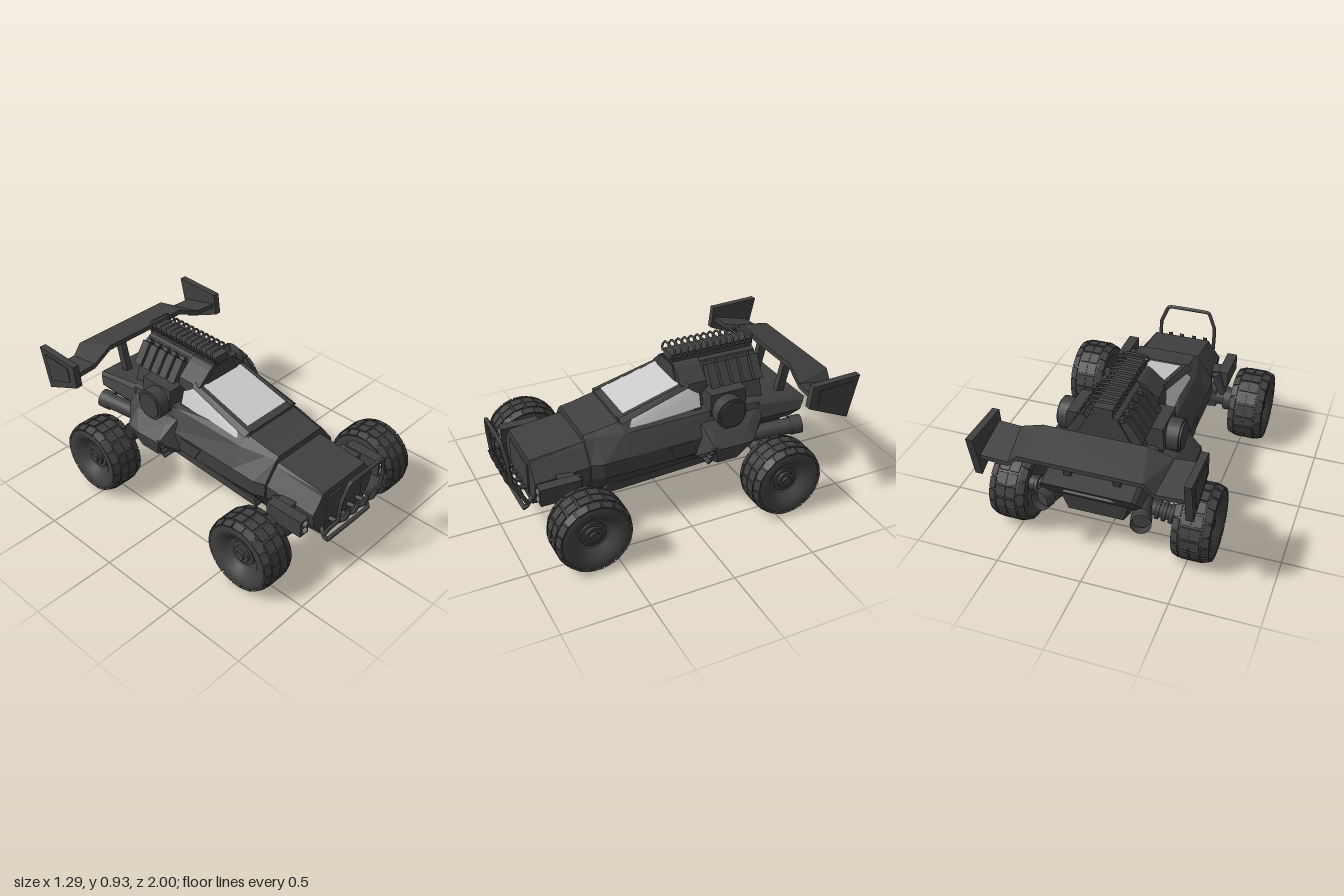
import * as THREE from 'three';
import { mergeGeometries } from 'three/addons/utils/BufferGeometryUtils.js';
import { ConvexGeometry } from 'three/addons/geometries/ConvexGeometry.js';

const V = (p) => new THREE.Vector3(...p);
const dark = new THREE.MeshStandardMaterial({ color: 0x404040 });
const darkThin = new THREE.MeshStandardMaterial({ color: 0x404040, side: THREE.DoubleSide });
const darkFlat = new THREE.MeshStandardMaterial({ color: 0x404040, flatShading: true });
const light = new THREE.MeshStandardMaterial({ color: 0xcccccc, side: THREE.DoubleSide });

export function createModel() {
  const root = new THREE.Group();
  root.name = 'buggy';

  const add = (name, geo, mat = darkFlat, parent = root) => {
    const m = new THREE.Mesh(geo, mat);
    m.name = name;
    parent.add(m);
    return m;
  };
  const box = (name, size, pos, rot = [0, 0, 0]) => {
    const m = add(name, new THREE.BoxGeometry(...size));
    m.position.set(...pos);
    m.rotation.set(...rot);
    return m;
  };
  const rod = (name, a, b, r, mat = dark, open = false) => {
    const A = V(a), B = V(b), d = B.clone().sub(A);
    const m = add(name, new THREE.CylinderGeometry(r, r, d.length(), 20, 1, open), mat);
    m.position.copy(A).add(B).multiplyScalar(0.5);
    m.quaternion.setFromUnitVectors(new THREE.Vector3(0, 1, 0), d.normalize());
    return m;
  };
  // Tube along straight runs with slightly softened bends
  const pipe = (name, pts, r, sides = 8) => {
    const path = new THREE.CatmullRomCurve3(pts.map(V), false, 'catmullrom', 0.12);
    return add(name, new THREE.TubeGeometry(path, pts.length * 6, r, sides), dark);
  };
  const hull = (name, pts) => add(name, new ConvexGeometry(pts.map(V)));
  // Side outline of [z, y] points, extruded across x
  const prism = (name, outline, x0, x1) => {
    const shape = new THREE.Shape(outline.map(([z, y]) => new THREE.Vector2(z, y)));
    const geo = new THREE.ExtrudeGeometry(shape, { depth: Math.abs(x1 - x0), bevelEnabled: false });
    const m = add(name, geo.rotateY(-Math.PI / 2));
    m.position.x = Math.max(x0, x1);
    return m;
  };
  const pane = (name, pts) => {
    const geo = new THREE.BufferGeometry().setFromPoints(pts.map(V));
    geo.setIndex(pts.slice(2).flatMap((_, i) => [0, i + 1, i + 2]));
    geo.computeVertexNormals();
    return add(name, geo, light);
  };
  // Mirrored half sections (top to bottom), ordered front to back
  const loft = (name, rows) => {
    const n = rows[0].length * 2, pos = [], idx = [];
    rows.forEach((h) => {
      h.forEach((p) => pos.push(...p));
      [...h].reverse().forEach(([x, y, z]) => pos.push(-x, y, z));
    });
    for (let i = 0; i < rows.length - 1; i++) {
      for (let j = 0; j < n; j++) {
        const a = i * n + j, b = i * n + (j + 1) % n;
        idx.push(a, b, a + n, b, b + n, a + n);
      }
    }
    const e = (rows.length - 1) * n;
    for (let j = 1; j < n - 1; j++) idx.push(0, j + 1, j, e, e + j, e + j + 1);
    const geo = new THREE.BufferGeometry();
    geo.setAttribute('position', new THREE.Float32BufferAttribute(pos, 3));
    geo.setIndex(idx);
    const flat = geo.toNonIndexed();
    flat.computeVertexNormals();
    return add(name, flat);
  };
  const at = (z, pts) => pts.map(([x, y]) => [x, y, z]);

  // Body shell
  loft('nose', [
    at(0.85, [[0.18, 0.51], [0.19, 0.49], [0.26, 0.4], [0.25, 0.33], [0.18, 0.22]]),
    at(0.52, [[0.18, 0.545], [0.2, 0.525], [0.275, 0.43], [0.275, 0.35], [0.2, 0.2]]),
  ]);
  loft('body', [
    at(0.53, [[0.18, 0.585], [0.2, 0.57], [0.29, 0.45], [0.29, 0.36], [0.2, 0.205]]),
    at(0.46, [[0.182, 0.595], [0.215, 0.57], [0.315, 0.45], [0.312, 0.355], [0.2, 0.208]]),
    at(0.31, [[0.19, 0.625], [0.25, 0.575], [0.322, 0.46], [0.32, 0.36], [0.21, 0.215]]),
    at(-0.19, [[0.24, 0.605], [0.27, 0.6], [0.333, 0.48], [0.33, 0.37], [0.21, 0.245]]),
    at(-0.56, [[0.24, 0.58], [0.26, 0.57], [0.3, 0.47], [0.25, 0.36], [0.19, 0.265]]),
  ]);
  loft('tail', [
    at(-0.54, [[0.24, 0.58], [0.27, 0.56], [0.3, 0.48], [0.25, 0.42]]),
    [[0.25, 0.53, -0.877], [0.27, 0.515, -0.865], [0.29, 0.47, -0.833], [0.24, 0.406, -0.786]],
  ]);
  pane('rearLight', [[-0.13, 0.51, -0.866], [0.13, 0.51, -0.866], [0.16, 0.455, -0.826], [-0.16, 0.455, -0.826]]);
  hull('gearbox', [-0.2, 0.2].flatMap((x) => [[x, 0.42, -0.5], [x, 0.25, -0.5], [x, 0.41, -0.77], [x * 0.8, 0.28, -0.75]]));
  prism('bellyPlate', [[0.72, 0.215], [0.72, 0.185], [-0.36, 0.24], [-0.36, 0.27]], -0.2, 0.2);
  prism('skidBlock', [[0.8, 0.22], [0.8, 0.195], [0.7, 0.147], [0.58, 0.147], [0.46, 0.2]], -0.1, 0.1);
  box('nosePanel', [0.31, 0.19, 0.015], [0, 0.37, 0.852]);

  // Cabin with glass set just proud of its frame
  loft('cabin', [
    at(0.32, [[0.185, 0.64], [0.19, 0.63], [0.235, 0.57]]),
    at(-0.11, [[0.175, 0.762], [0.18, 0.75], [0.235, 0.595]]),
    at(-0.19, [[0.18, 0.71], [0.195, 0.7], [0.235, 0.59]]),
  ]);
  pane('windshield', [[-0.162, 0.656, 0.28], [0.162, 0.656, 0.28], [0.155, 0.757, -0.08], [-0.155, 0.757, -0.08]]);
  const cabinX = (z, y) => {
    const t = (0.31 - z) / 0.42, k = (y - 0.575 - 0.025 * t) / (0.055 + 0.095 * t);
    return THREE.MathUtils.lerp(0.235, 0.19 - 0.008 * t, k) + 0.005;
  };
  const sideWindow = [[0.27, 0.588], [-0.18, 0.618], [-0.182, 0.695], [-0.105, 0.74], [0.24, 0.638]];

  // Engine block, intake and a top rail of hoops
  loft('engineBlock', [-0.07, -0.61].map((z) => at(z, [[0.06, 0.84], [0.08, 0.83], [0.16, 0.69], [0.2, 0.57]])));
  loft('intake', [-0.075, -0.24].map((z) => at(z, [[0.075, 0.845], [0.1, 0.83], [0.185, 0.755], [0.195, 0.7]])));
  box('engineRail', [0.11, 0.06, 0.53], [0, 0.86, -0.345]);
  for (let i = 0; i < 13; i++) {
    const z = -0.075 - i * 0.042;
    pipe('railHoop', [[-0.05, 0.87, z], [-0.075, 0.885, z - 0.005], [-0.075, 0.91, z - 0.013], [-0.06, 0.925, z - 0.02],
      [0.06, 0.925, z - 0.02], [0.075, 0.91, z - 0.013], [0.075, 0.885, z - 0.005], [0.05, 0.87, z]], 0.007, 6);
  }

  // Wheels: rounded tyre lathe with shallow staggered tread, ringed hub
  const profile = [[0.03, -0.06], [0.1, -0.06], [0.13, -0.09], [0.16, -0.106], [0.19, -0.106], [0.207, -0.095], [0.216, -0.07],
    [0.218, 0], [0.216, 0.07], [0.207, 0.095], [0.19, 0.106], [0.16, 0.106], [0.13, 0.09], [0.1, 0.06], [0.082, 0.045], [0, 0.045]];
  const tyre = new THREE.LatheGeometry(profile.map(([r, y]) => new THREE.Vector2(r, y)), 48).rotateZ(-Math.PI / 2);
  const blocks = [];
  for (let i = 0; i < 18; i++) {
    // across, width, angular shift, radius, cant
    [[-0.084, 0.042, 0, 0.204, 0.35], [0.084, 0.042, 0, 0.204, -0.35], [-0.03, 0.054, 0.5, 0.212, 0], [0.03, 0.054, 0.5, 0.212, 0]]
      .forEach(([x, w, shift, r, cant]) => {
        const b = new THREE.BoxGeometry(w, 0.02, 0.064).rotateZ(cant).translate(x, r, 0);
        blocks.push(b.rotateX((i + shift) * Math.PI / 9));
      });
  }
  const tread = mergeGeometries(blocks);
  const wheel = (name, s, z) => {
    const g = new THREE.Group();
    g.name = name;
    g.position.set(s * 0.537, 0.225, z);
    g.rotation.y = s > 0 ? 0 : Math.PI;
    add('tyre', tyre, dark, g);
    add('tread', tread, darkFlat, g);
    [[0.08, 0.055], [0.055, 0.07], [0.03, 0.085]].forEach(([r, x]) => {
      const hub = add('hub', new THREE.CylinderGeometry(r * 0.93, r, 0.03, 24).rotateZ(-Math.PI / 2), dark, g);
      hub.position.x = x - 0.015;
    });
    root.add(g);
  };

  // Wing section at one x station: high front edge, low rear edge
  const wingEdge = (xf, yf, zf, xr, yr, zr) => [[xf, yf, zf], [xf, yf - 0.03, zf], [xr, yr, zr], [xr, yr - 0.025, zr]];
  const inner = (s) => wingEdge(s * 0.29, 0.8, -0.73, s * 0.34, 0.745, -0.96);
  hull('wingCentre', [...inner(1), ...inner(-1)]);

  for (const s of [1, -1]) {
    const side = s > 0 ? 'left' : 'right';
    const flip = (pts) => pts.map(([x, y, z]) => [s * x, y, z]);
    wheel(side + 'FrontWheel', s, 0.647);
    wheel(side + 'RearWheel', s, -0.556);
    pane(side + 'Window', sideWindow.map(([z, y]) => [s * cabinX(z, y), y, z]));
    hull('windshieldPillar', flip([[0.165, 0.645, 0.32], [0.19, 0.646, 0.32], [0.222, 0.622, 0.31], [0.18, 0.62, 0.31],
      [0.158, 0.766, -0.12], [0.178, 0.767, -0.12], [0.2, 0.742, -0.12], [0.17, 0.74, -0.12]]));

    // Wing tips, end plates, struts
    const outer = wingEdge(s * 0.43, 0.745, -0.71, s * 0.4, 0.685, -0.95);
    hull('wingSlope', [...inner(s), ...outer]);
    hull('wingTip', [...outer, ...wingEdge(s * 0.565, 0.745, -0.7, s * 0.565, 0.685, -0.94)]);
    prism('endPlate', [[-0.69, 0.81], [-1, 0.82], [-0.94, 0.557], [-0.674, 0.674]], s * 0.562, s * 0.603);
    prism('endPlateInset', [[-0.74, 0.78], [-0.95, 0.79], [-0.915, 0.62], [-0.73, 0.69]], s * 0.603, s * 0.608);
    prism('wingStrut', [[-0.74, 0.54], [-0.79, 0.54], [-0.84, 0.755], [-0.79, 0.765]], s * 0.12, s * 0.16);

    // Engine cylinders, side drums and their mounts
    for (let i = 0; i < 5; i++) {
      box('engineCylinder', [0.06, 0.15, 0.055], [s * 0.15, 0.75, -0.29 - i * 0.071], [0, 0, s * 0.6]);
      box('cylinderCap', [0.035, 0.03, 0.04], [s * 0.102, 0.815, -0.29 - i * 0.071], [0, 0, s * 0.6]);
    }
    hull('drumMount', [-0.22, -0.45].flatMap((z) => flip([[0.17, 0.71, z], [0.28, 0.705, z], [0.29, 0.57, z], [0.17, 0.57, z]])));
    rod('drum', [s * 0.22, 0.6, -0.32], [s * 0.355, 0.6, -0.32], 0.095);
    rod('drumCap', [s * 0.355, 0.6, -0.32], [s * 0.366, 0.6, -0.32], 0.08);

    // Side pod, vent slats, door panel and sill
    hull('sidePod', flip([[0.3, 0.55, -0.15], [0.33, 0.36, -0.1], [0.35, 0.515, -0.2], [0.43, 0.435, -0.18], [0.42, 0.34, -0.2],
      [0.35, 0.515, -0.44], [0.44, 0.435, -0.34], [0.43, 0.435, -0.43], [0.43, 0.35, -0.32], [0.32, 0.5, -0.54], [0.25, 0.55, -0.56],
      [0.25, 0.3, -0.28]]));
    for (let i = 0; i < 4; i++) box('ventSlat', [0.09, 0.012, 0.03], [s * 0.38, 0.36 + i * 0.025, -0.145 - i * 0.012], [0.5, 0, 0]);
    prism('doorPanel', [[0.02, 0.375], [0.07, 0.46], [-0.08, 0.47], [-0.11, 0.38]], s * 0.3, s * 0.336);
    prism('sill', [[0.44, 0.21], [0.42, 0.26], [-0.34, 0.3], [-0.34, 0.25]], s * 0.19, s * 0.255);

    // Exhausts with hollow mouths
    rod('exhaust', [s * 0.2, 0.32, -0.5], [s * 0.279, 0.36, -0.8], 0.05);
    rod('exhaustRim', [s * 0.273, 0.357, -0.775], [s * 0.29, 0.365, -0.843], 0.058, darkThin, true);

    // Axles and suspension
    rod('rearAxle', [s * 0.15, 0.27, -0.57], [s * 0.48, 0.225, -0.556], 0.045);
    for (let i = 0; i < 4; i++) rod('axleRing', [s * (0.29 + i * 0.04), 0.25 - i * 0.006, -0.565], [s * (0.31 + i * 0.04), 0.247 - i * 0.006, -0.564], 0.057);
    hull('frontArm', [0.6, 0.7].flatMap((z) => flip([[0.18, 0.33, z], [0.18, 0.17, z], [0.31, 0.29, z], [0.31, 0.18, z]])));
    rod('frontAxle', [s * 0.26, 0.24, 0.65], [s * 0.5, 0.225, 0.647], 0.055);
    rod('frontKnuckle', [s * 0.36, 0.225, 0.65], [s * 0.44, 0.225, 0.65], 0.072);
    rod('lowerLink', [s * 0.18, 0.18, 0.7], [s * 0.43, 0.17, 0.67], 0.014);
    rod('upperLink', [s * 0.26, 0.3, 0.7], [s * 0.41, 0.27, 0.67], 0.018);
    rod('shock', [s * 0.35, 0.25, 0.64], [s * 0.3, 0.42, 0.62], 0.03);

    // Headlamp housing
    box('lampHousing', [0.065, 0.105, 0.24], [s * 0.343, 0.383, 0.74]);
    box('lampBracket', [0.09, 0.05, 0.1], [s * 0.28, 0.4, 0.68]);
    for (const y of [0.36, 0.408]) rod('headlamp', [s * 0.34, y, 0.85], [s * 0.34, y, 0.866], 0.017, light);
  }

  // Front guard: tall hoop, lower bar and four hooks
  const hoop = [[0.19, 0.24, 0.88], [0.19, 0.32, 0.92], [0.185, 0.39, 0.96], [0.185, 0.53, 0.972], [0.145, 0.628, 0.983], [0.125, 0.641, 0.985]];
  pipe('guardHoop', [...hoop, ...[...hoop].reverse().map(([x, y, z]) => [-x, y, z])], 0.012);
  pipe('lowerBar', [[0.17, 0.27, 0.84], [0.19, 0.21, 0.9], [-0.19, 0.21, 0.9], [-0.17, 0.27, 0.84]], 0.013);
  rod('crossBar', [-0.19, 0.31, 0.91], [0.19, 0.31, 0.91], 0.011);
  for (const x of [-0.12, -0.042, 0.042, 0.12]) {
    pipe('guardHook', [[x, 0.3, 0.84], [x, 0.31, 0.91], [x, 0.37, 0.965], [x, 0.45, 0.985]], 0.014);
  }
  return root;
}
